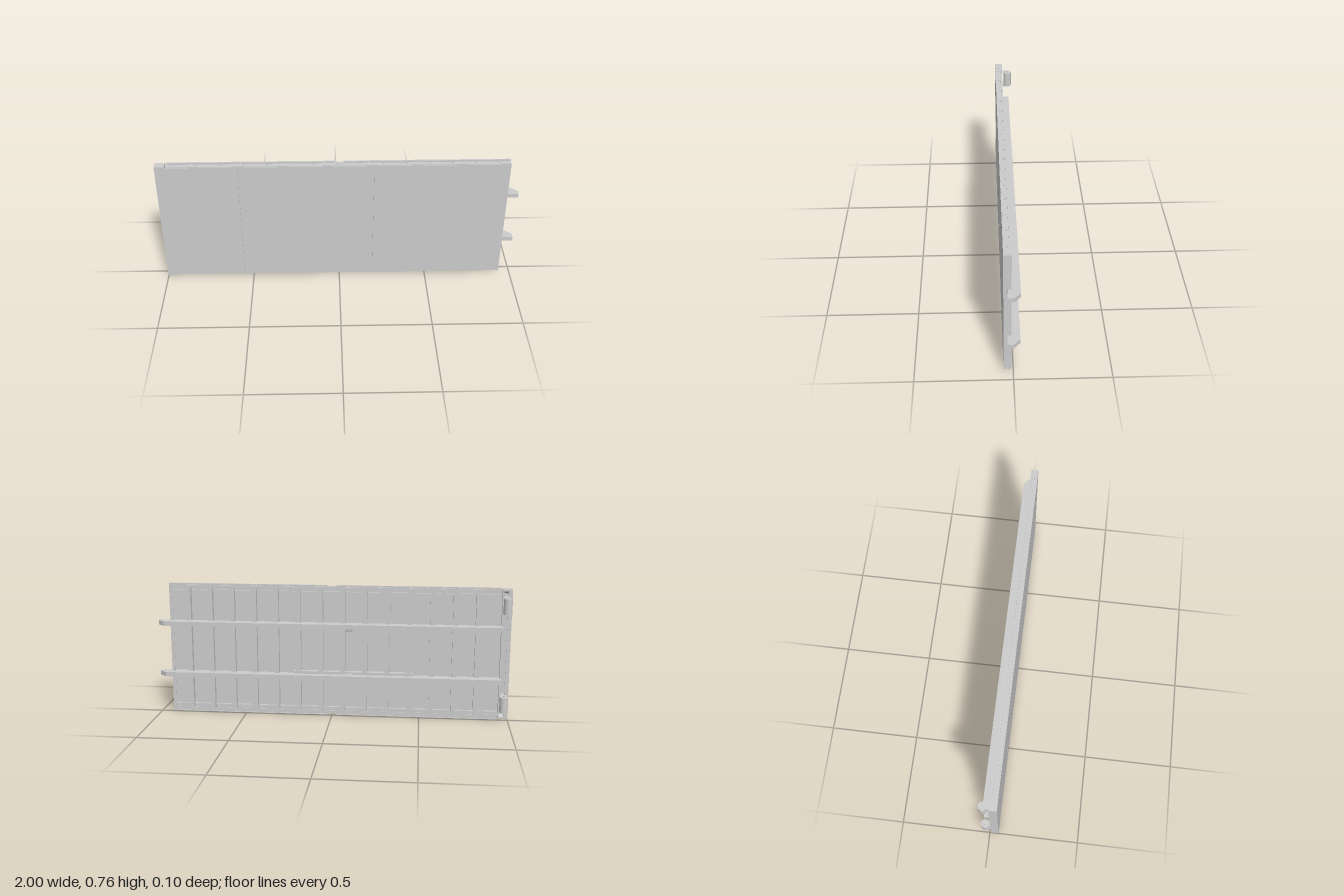
import * as THREE from 'three';

const MID = 0.3785; // height of the mirror line between the two long edges

export function createModel() {
  const root = new THREE.Group();
  const mat = new THREE.MeshStandardMaterial({ color: 0xcccccc, side: THREE.DoubleSide });

  const add = (name, geo, x = 0, y = 0, z = 0) => {
    const m = new THREE.Mesh(geo, mat);
    m.name = name;
    m.position.set(x, y, z);
    root.add(m);
    return m;
  };
  // Box given by its limits on each axis
  const box = (name, x0, x1, y0, y1, z0, z1) =>
    add(name, new THREE.BoxGeometry(x1 - x0, Math.abs(y1 - y0), z1 - z0),
      (x0 + x1) / 2, (y0 + y1) / 2, (z0 + z1) / 2);
  // Box given by its distance from the mirror line, on side s
  const sideBox = (name, s, x0, x1, d0, d1, z0, z1) =>
    box(name, x0, x1, MID + s * d0, MID + s * d1, z0, z1);
  // Outline extruded and centred on its depth
  const slab = (points, depth, holes = [], r = 0) => {
    const shape = new THREE.Shape(points.map(p => new THREE.Vector2(...p)));
    for (const [hx, hy] of holes) {
      const hole = new THREE.Path();
      hole.absarc(hx, hy, r, 0, Math.PI * 2, true);
      shape.holes.push(hole);
    }
    return new THREE.ExtrudeGeometry(shape, { depth, bevelEnabled: false, curveSegments: 6 })
      .translate(0, 0, -depth / 2);
  };
  const rect = (x0, x1, y0, y1) => [[x0, y0], [x1, y0], [x1, y1], [x0, y1]];

  // Deck: three panels with narrow seams over a backing sheet
  const seams = [-0.945, -0.55, 0.19, 0.935];
  for (let i = 0; i < 3; i++) {
    box('deckPanel', seams[i] + (i ? 0.0015 : 0), seams[i + 1] - (i < 2 ? 0.0015 : 0),
      0.014, 0.743, 0.041, 0.049);
  }
  box('deckBacking', -0.96, 0.935, 0.014, 0.743, 0.037, 0.0412);

  // Cross members: channels with a web and a back flange
  for (let i = 0; i < 14; i++) {
    const x = 0.825 - i * 0.1265;
    box('crossMemberWeb', x - 0.014, x - 0.010, 0.016, 0.741, 0.011, 0.037);
    box('crossMemberWeb', x + 0.010, x + 0.014, 0.016, 0.741, 0.011, 0.037);
    box('crossMemberFlange', x - 0.014, x + 0.014, 0.016, 0.741, 0.009, 0.012);
    if (i % 2) {
      const stud = add('deckBolt', new THREE.CylinderGeometry(0.005, 0.005, 0.004, 8), x + 0.063, MID, 0.036);
      stud.rotation.x = Math.PI / 2;
    }
  }

  // Perforated end member
  const endHoles = [0.07, 0.16, 0.28, 0.32, 0.36, 0.40, 0.44, 0.48, 0.60, 0.69].map(y => [0.024, y]);
  const end = add('endMember', slab(rect(0.009, 0.037, 0.014, 0.743), 0.004, endHoles, 0.003), 0.932);
  end.rotation.y = -Math.PI / 2;
  box('endMemberFlange', 0.915, 0.934, 0.014, 0.743, 0.009, 0.012);

  // Rear bumper channel
  box('bumperWall', -1, -0.985, 0.012, 0.75, 0.005, 0.05);
  box('bumperFront', -1, -0.945, 0.012, 0.75, 0.037, 0.05);
  box('bumperBackLip', -1, -0.978, 0.012, 0.75, 0.005, 0.009);
  box('bumperInnerRib', -0.955, -0.947, 0.016, 0.741, 0.009, 0.04);

  for (const s of [-1, 1]) {
    // Side rail: perforated wall, outward lip in two lengths, and back return
    const wallHoles = [];
    for (let i = 0; i < 15; i++) wallHoles.push([-0.9 + i * 0.1265, 0.030]);
    const wall = add('railWall', slab(rect(-0.94, 0.935, 0.010, 0.045), 0.004, wallHoles, 0.005),
      0, MID + s * 0.3665, 0);
    wall.rotation.x = Math.PI / 2;
    for (const [x0, x1] of [[-0.94, -0.025], [0.025, 0.935]]) {
      const lipHoles = [];
      for (let x = x0 + 0.045; x < x1 - 0.02; x += 0.09) lipHoles.push([x, 0]);
      add('railLip', slab(rect(x0, x1, -0.006, 0.006), 0.002, lipHoles, 0.003), 0, MID + s * 0.3725, 0.018);
      sideBox('railReturn', s, x0, x1, 0.3765, 0.3785, 0.010, 0.019);
    }
    sideBox('railCentreBlock', s, -0.02, 0.02, 0.364, 0.371, 0.008, 0.03);

    // Stiffener inside the long edge, and the fold beside the bumper
    sideBox('edgeStiffener', s, -0.94, 0.93, 0.335, 0.339, 0.022, 0.038);
    sideBox('edgeFlange', s, -0.94, 0.93, 0.352, 0.366, 0.009, 0.012);
    sideBox('edgeMark', s, -0.802, -0.798, 0.345, 0.3665, 0.047, 0.050);

    // Bumper end cap with sloped gusset
    const cap = add('bumperCap', slab([[0.005, s * 0.3715], [0.05, s * 0.3715], [0.05, s * 0.345],
      [0.036, s * 0.345], [0.005, s * 0.36]], 0.055), -0.9725, MID, 0);
    cap.rotation.y = -Math.PI / 2;

    // Long beam with chamfered nose
    const beam = add('longBeam', slab([[-0.955, -0.034], [0.962, -0.034], [1, 0], [1, 0.03], [-0.955, 0.03]], 0.025),
      0, MID + s * 0.149, 0);
    beam.rotation.x = Math.PI / 2;

    // Reinforcing strip and tapered stop on the inner face of the beam
    sideBox('beamStrip', s, -0.46, 0.22, 0.121, 0.137, 0.006, 0.036);
    const stop = add('beamStop', slab([[-0.017, s * 0.137], [-0.032, s * 0.137], [-0.028, s * 0.121],
      [-0.021, s * 0.121]], 0.04), -0.10, MID, 0);
    stop.rotation.y = -Math.PI / 2;

    // Roller with pin and two bracket plates
    const ry = MID + s * 0.2805;
    add('roller', new THREE.CylinderGeometry(0.024, 0.024, 0.088, 32), -0.974, ry, -0.026);
    add('rollerPin', new THREE.CylinderGeometry(0.006, 0.006, 0.106, 12), -0.974, ry, -0.026);
    for (const t of [-1, 1]) {
      box('rollerBracket', -0.988, -0.955, ry + t * 0.0475 - 0.0012, ry + t * 0.0475 + 0.0012, -0.038, 0.037);
      add('rollerBolt', new THREE.CylinderGeometry(0.004, 0.004, 0.008, 6), -0.974, ry + t * 0.0475, -0.012);
    }
  }
  return root;
}
